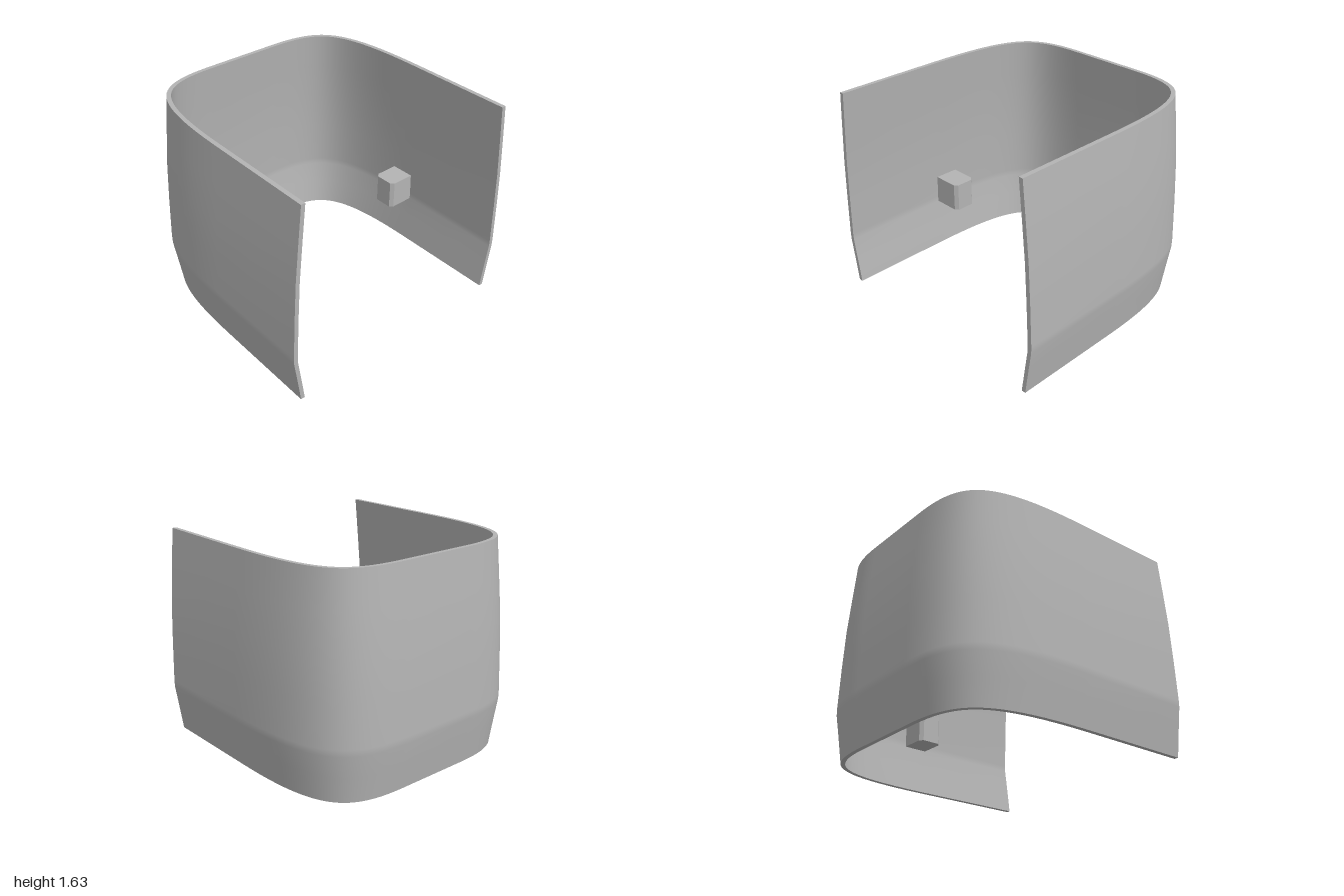
import * as THREE from 'three';

const WALL = 0.033;
// [height, inward lean of the outer face]
const LEVELS = [[0, 0.056], [0.2, 0.027], [0.37, 0.001], [0.42, 0], [0.75, 0.011], [1.05, 0.025], [1.35, 0.05], [1.63, 0.075]];

// U-shaped plan (x, z): open on +x, with long soft corners
function planOutline() {
  const V = (x, z) => new THREE.Vector2(x, z);
  const half = [V(0.96, 1), V(0.5, 1), ...new THREE.CubicBezierCurve(V(0.1, 1), V(-0.75, 1), V(-0.965, 0.85), V(-0.965, 0.3)).getPoints(28)];
  const points = [...half, V(-0.965, 0), ...half.map((p) => V(p.x, -p.y)).reverse()];
  const last = points.length - 1;
  return points.map((p, i) => {
    const t = points[Math.min(i + 1, last)].clone().sub(points[Math.max(i - 1, 0)]).normalize();
    return { p, n: V(t.y, -t.x) };
  });
}

// Surface through rows of points
function gridGeometry(rows) {
  const cols = rows[0].length;
  const index = [];
  for (let i = 0; i < rows.length - 1; i++) {
    for (let j = 0; j < cols - 1; j++) {
      const a = i * cols + j, b = a + 1, d = a + cols, c = d + 1;
      index.push(a, d, b, b, d, c);
    }
  }
  const g = new THREE.BufferGeometry().setFromPoints(rows.flat());
  g.setIndex(index);
  g.computeVertexNormals();
  return g;
}

export function createModel() {
  const model = new THREE.Group();
  model.name = 'curvedShell';
  const grey = new THREE.MeshStandardMaterial({ color: 0xb4b4b4 });
  grey.name = 'grey';
  const add = (name, geometry) => {
    const mesh = new THREE.Mesh(geometry, grey);
    mesh.name = name;
    model.add(mesh);
    return mesh;
  };

  // Wall cross-sections, outside and inside
  const outline = planOutline();
  const row = (y, inset) => outline.map(({ p, n }) => new THREE.Vector3(p.x - n.x * inset, y, p.y - n.y * inset));
  const outer = LEVELS.map(([y, d]) => row(y, d));
  const inner = LEVELS.map(([y, d]) => row(y, d + WALL));
  const top = LEVELS.length - 1, end = outline.length - 1;

  add('outerWall', gridGeometry(outer));
  add('innerWall', gridGeometry([...inner].reverse()));
  add('topRim', gridGeometry([outer[top], inner[top]]));
  add('bottomRim', gridGeometry([inner[0], outer[0]]));
  add('frontEndEdge', gridGeometry(outer.map((r, i) => [inner[i][0], r[0]])));
  add('backEndEdge', gridGeometry(outer.map((r, i) => [r[end], inner[i][end]])));

  // Mounting blocks with bevelled inner corners; shape y is distance from the middle plane
  const block = (name, tip, side) => {
    const shape = new THREE.Shape([[-0.1, 0.975], [-0.1, tip + 0.028], [-0.075, tip], [0.068, tip], [0.092, tip + 0.028], [0.092, 0.975]]
      .map(([x, d]) => new THREE.Vector2(x, -side * d)));
    const g = new THREE.ExtrudeGeometry(shape, { depth: 0.23, bevelEnabled: false });
    g.rotateX(-Math.PI / 2);
    add(name, g).position.y = 0.37;
  };
  block('frontBlock', 0.725, 1);
  block('backBlock', 0.745, -1);

  return model;
}
